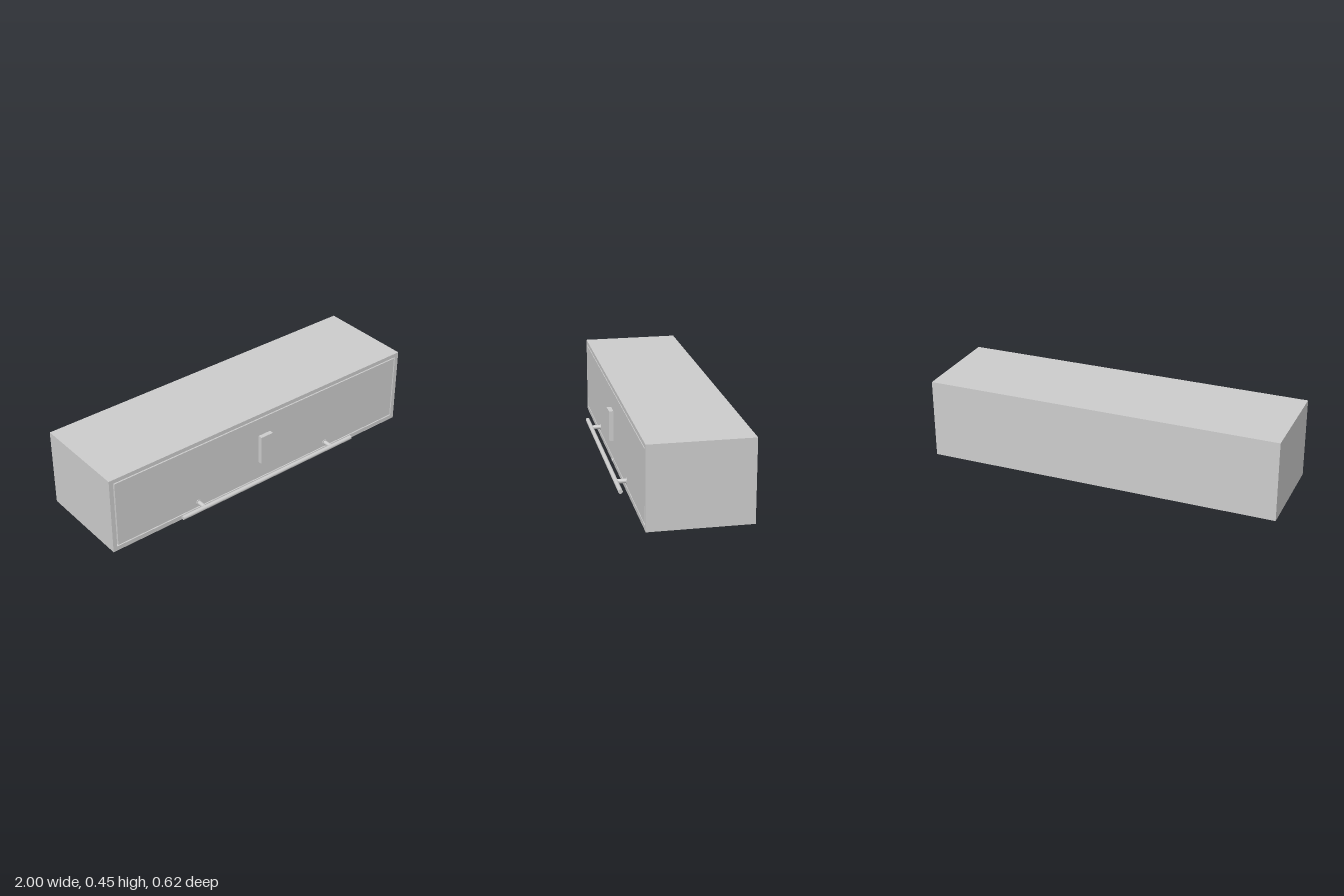
import * as THREE from 'three';

export function createModel() {
  const group = new THREE.Group();
  const grey = new THREE.MeshStandardMaterial({ color: 0xcccccc });
  const H = 0.451, BACK = -0.31, FRONT = 0.242;

  function add(name, geometry, x, y, z) {
    const mesh = new THREE.Mesh(geometry, grey);
    mesh.name = name;
    mesh.position.set(x, y, z);
    group.add(mesh);
    return mesh;
  }
  const box = (name, w, h, d, x, y, z) => add(name, new THREE.BoxGeometry(w, h, d), x, y, z);
  // Cylinder running along z from z0 to z1
  function peg(name, r, x, y, z0, z1) {
    const g = new THREE.CylinderGeometry(r, r, z1 - z0, 32).rotateX(Math.PI / 2);
    return add(name, g, x, y, (z0 + z1) / 2);
  }
  function rect(Type, x, y0, y1) {
    return new Type([[-x, y0], [x, y0], [x, y1], [-x, y1]].map(p => new THREE.Vector2(...p)));
  }

  // Cabinet: open-fronted carcass with a back panel
  const outline = rect(THREE.Shape, 1, 0, H);
  outline.holes.push(rect(THREE.Path, 0.976, 0.026, 0.428));
  const wallDepth = FRONT - BACK - 0.02;
  add('carcass', new THREE.ExtrudeGeometry(outline, { depth: wallDepth, bevelEnabled: false }), 0, 0, BACK + 0.02);
  box('backPanel', 2, H, 0.02, 0, H / 2, BACK + 0.01);

  // Flush door set in the frame with a narrow gap all round
  box('door', 1.936, 0.388, 0.025, 0, 0.227, FRONT - 0.0125);

  // Raised plate in the middle of the door
  box('doorPlate', 0.08, 0.172, 0.025, 0, 0.227, FRONT + 0.0125);

  // Long bar handle on two standoffs
  const bar = new THREE.CylinderGeometry(0.012, 0.012, 1.196, 32).rotateZ(Math.PI / 2);
  add('handleBar', bar, 0, 0.06, 0.298);
  for (const x of [-0.45, 0.45]) {
    peg('handleStandoff', 0.012, x, 0.06, FRONT, 0.298);
    peg('standoffFlange', 0.018, x, 0.06, FRONT, FRONT + 0.003);
  }

  // Small lock button in the lower frame rail
  peg('lockButton', 0.008, 0, 0.013, FRONT - 0.002, 0.247);

  return group;
}
